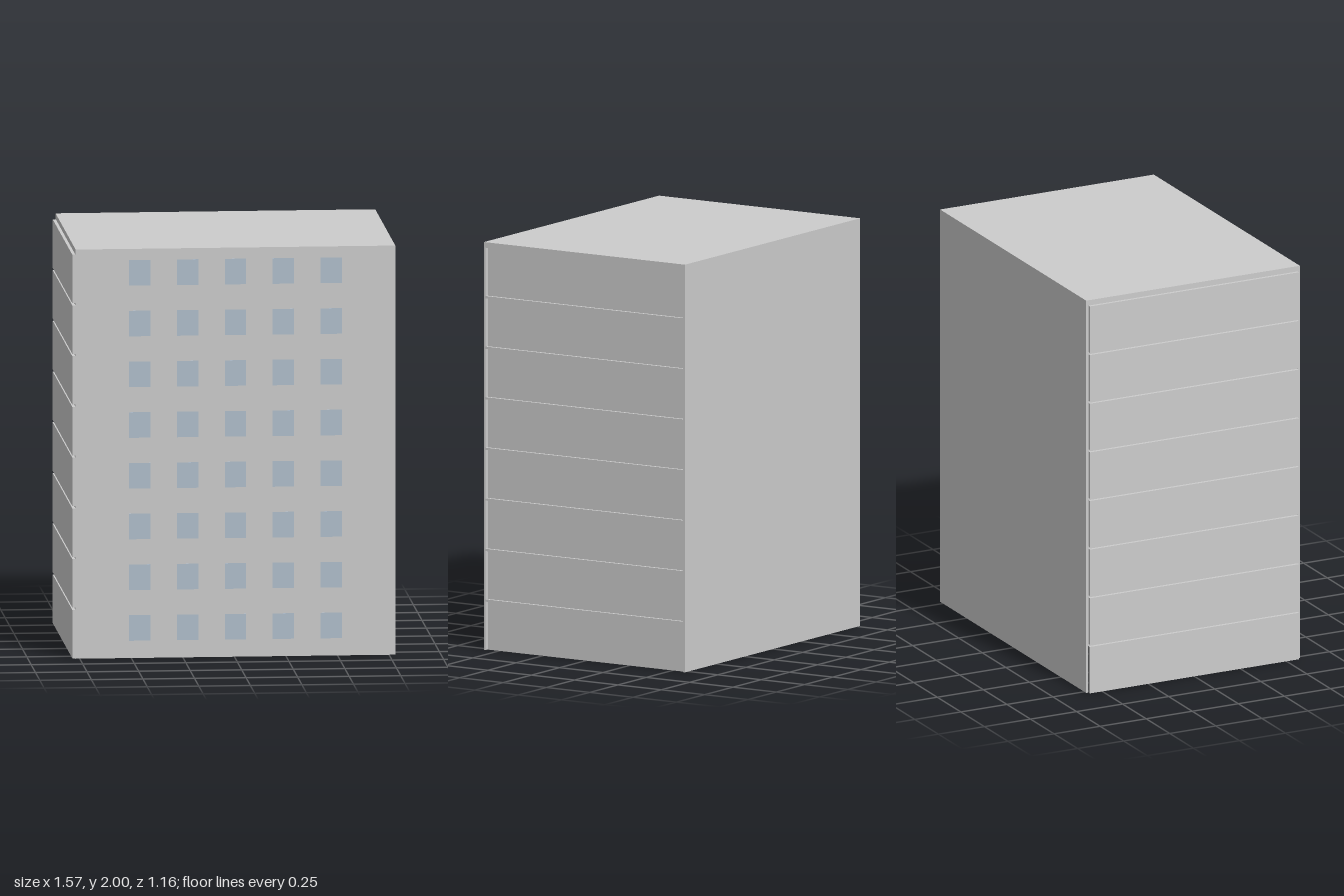
import * as THREE from 'three';

const FLOORS = 8, PITCH = 0.248, PANEL_H = 0.237;
const X0 = -0.77, X1 = 0.78, CX = (X0 + X1) / 2, HALF_Z = 0.58, WALL = 0.01;

export function createModel() {
  const concrete = new THREE.MeshStandardMaterial({ color: 0xcccccc });
  concrete.name = 'concrete';
  const glass = new THREE.MeshStandardMaterial({ color: 0xb0becc });
  glass.name = 'windowGlass';
  const leaf = new THREE.MeshStandardMaterial({ color: 0x4f9a55 });
  leaf.name = 'leafGreen';

  const model = new THREE.Group();
  model.name = 'apartmentBlock';

  const add = (name, geometry, material, x, y, z, parent = model) => {
    const mesh = new THREE.Mesh(geometry, material);
    mesh.name = name;
    mesh.position.set(x, y, z);
    parent.add(mesh);
    return mesh;
  };
  const box = (w, h, d) => new THREE.BoxGeometry(w, h, d);

  // Full-height front and back walls
  const wall = box(X1 - X0, 2, WALL);
  add('frontWall', wall, concrete, CX, 1, HALF_Z - WALL / 2);
  add('backWall', wall, concrete, CX, 1, -HALF_Z + WALL / 2);

  // Roof slab between the walls
  const innerDepth = 2 * (HALF_Z - WALL);
  const roofBase = (FLOORS - 1) * PITCH + PANEL_H;
  add('roof', box(X1 - X0, 2 - roofBase, innerDepth), concrete, CX, (2 + roofBase) / 2, 0);

  // Each storey: side panels set slightly towards -x, ceiling slab, row of windows
  const panel = box(0.015, PANEL_H, innerDepth - 0.006);
  const slab = box(X1 - X0, PITCH - PANEL_H, innerDepth);
  const pane = box(0.104, 0.125, 0.002);
  for (let f = 0; f < FLOORS; f++) {
    const storey = new THREE.Group();
    storey.name = 'storey' + (f + 1);
    storey.position.y = f * PITCH;
    model.add(storey);
    add('rightPanel', panel, concrete, X0 - 0.0075, PANEL_H / 2, 0, storey);
    add('leftPanel', panel, concrete, X1 - 0.0225, PANEL_H / 2, 0, storey);
    if (f < FLOORS - 1) {
      add('floorSlab', slab, concrete, CX, (PANEL_H + PITCH) / 2, 0, storey);
    }
    for (let i = -2; i <= 2; i++) {
      const x = CX + i * 0.2325;
      add('window', pane, glass, x, 0.147, HALF_Z, storey);
      add('windowInside', pane, glass, x, 0.147, HALF_Z - WALL, storey);
    }
  }

  // Ground-floor columns
  const column = new THREE.CylinderGeometry(0.019, 0.019, PANEL_H, 16);
  for (const z of [-0.2, 0.2]) {
    for (let i = -1; i <= 1; i++) {
      add('column', column, concrete, 0.012 + i * 0.387, PANEL_H / 2, z);
    }
  }

  // Conical tree standing under the building
  const tree = new THREE.Group();
  tree.name = 'tree';
  tree.position.set(0.325, 0, -0.205);
  model.add(tree);
  add('trunk', new THREE.CylinderGeometry(0.008, 0.008, 0.12, 12), concrete, 0, 0.06, 0, tree);
  add('foliage', new THREE.ConeGeometry(0.115, 0.235, 16), leaf, 0, 0.2245, 0, tree);

  return model;
}
